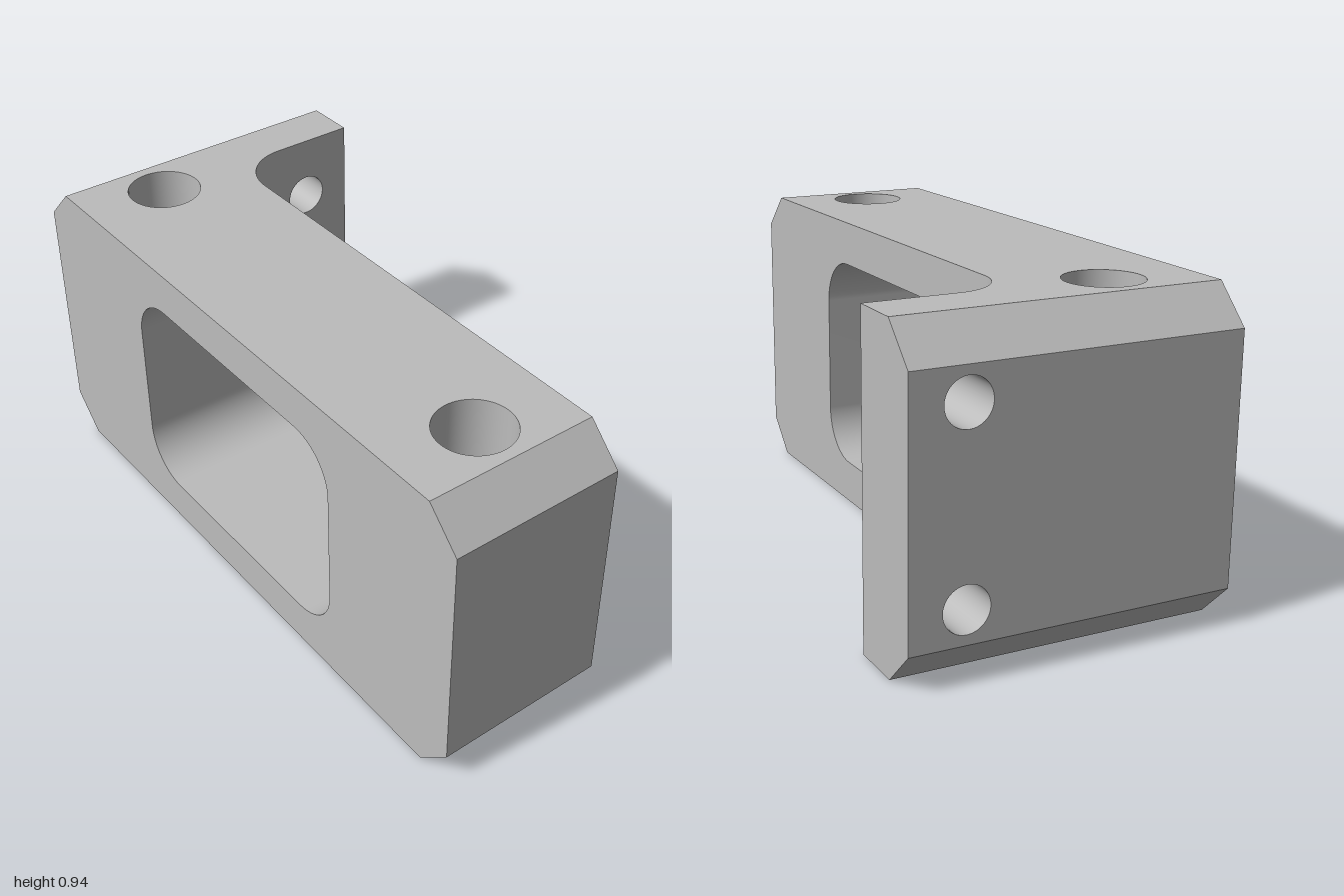
import * as THREE from 'three';

// Main dimensions
const X0 = -0.48, XA = 0.05, X1 = 0.48;   // arm back, arm front, flange tip
const H = 0.936, C = 0.107;               // height, chamfer
const ZF = -0.735, R = 0.16;              // flange front face, inner fillet radius

const V = (a, b) => new THREE.Vector2(a, b);

// Drawing planes: (u, v, w) to world axes, w being the plane's axis
const planes = {
  front: { map: (u, v, w) => [u, v, w], hand: 1 },
  side: { map: (u, v, w) => [w, v, u], hand: -1 },
  top: { map: (u, v, w) => [u, w, v], hand: -1 },
};

function arc(cx, cy, r, a0, a1, n) {
  return Array.from({ length: n + 1 }, (_, i) => {
    const a = a0 + (a1 - a0) * i / n;
    return V(cx + r * Math.cos(a), cy + r * Math.sin(a));
  });
}
const circle = (cx, cy, r) => arc(cx, cy, r, 0, Math.PI * 2, 64).slice(0, -1);

function roundedRect(u0, v0, u1, v1, r) {
  const q = Math.PI / 2;
  const corners = [[u1 - r, v1 - r], [u0 + r, v1 - r], [u0 + r, v0 + r], [u1 - r, v0 + r]];
  return corners.flatMap(([u, v], i) => arc(u, v, r, i * q, (i + 1) * q, 16));
}
const rect = (u0, v0, u1, v1) => [V(u0, v0), V(u1, v0), V(u1, v1), V(u0, v1)];

function flipWinding(index) {
  for (let i = 0; i < index.length; i += 3) [index[i], index[i + 1]] = [index[i + 1], index[i]];
}

// Flat face with holes at depth w, facing along sign * w
function face(plane, outline, holes, w, sign) {
  const shape = new THREE.Shape(outline);
  shape.holes = holes.map((h) => new THREE.Path(h));
  const g = new THREE.ShapeGeometry(shape);
  const p = g.attributes.position;
  for (let i = 0; i < p.count; i++) p.setXYZ(i, ...planes[plane].map(p.getX(i), p.getY(i), w));
  if (planes[plane].hand * sign < 0) flipWinding(g.index.array);
  g.computeVertexNormals();
  return g;
}

// Smooth wall swept along w, facing the inside of a counter-clockwise path
function wall(plane, path, w0, w1, closed = true) {
  const { map, hand } = planes[plane], n = path.length, pos = [], index = [];
  for (const p of path) pos.push(...map(p.x, p.y, w0), ...map(p.x, p.y, w1));
  for (let i = 0; i < (closed ? n : n - 1); i++) {
    const a = 2 * i, b = 2 * ((i + 1) % n);
    index.push(a, b, b + 1, a, b + 1, a + 1);
  }
  if (hand > 0) flipWinding(index);
  const g = new THREE.BufferGeometry();
  g.setAttribute('position', new THREE.Float32BufferAttribute(pos, 3));
  g.setIndex(index);
  g.computeVertexNormals();
  return g;
}

// Sloping edge strip along x, at the top or bottom of either end
function chamfer(x1, sy, sz) {
  const yFlat = sy > 0 ? H : 0, yEnd = yFlat - sy * C;
  const zFlat = sz * (1 - C), zEnd = sz;
  const g = new THREE.BufferGeometry();
  g.setAttribute('position', new THREE.Float32BufferAttribute([
    X0, yEnd, zEnd, x1, yEnd, zEnd, x1, yFlat, zFlat, X0, yFlat, zFlat], 3));
  g.setIndex([0, 1, 2, 0, 2, 3]);
  if (sy * sz < 0) flipWinding(g.index.array);
  g.computeVertexNormals();
  return g;
}

export function createModel() {
  const group = new THREE.Group();
  const metal = new THREE.MeshStandardMaterial({ color: 0xbcbcbc });
  metal.name = 'grey metal';
  const add = (name, geometry) => {
    const mesh = new THREE.Mesh(geometry, metal);
    mesh.name = name;
    group.add(mesh);
  };

  // Openings
  const window = roundedRect(-0.48, 0.135, 0.48, 0.802, 0.15);
  const armHoles = [-0.745, 0.745].map((z) => circle(-0.213, z, 0.113));
  const flangeHoles = [0.203, 0.735].map((y) => circle(0.319, y, 0.067));
  const fillet = arc(XA + R, ZF + R, R, Math.PI, Math.PI * 1.5, 24);

  // Top and bottom of the L-shaped body
  const e = 1 - C;
  const plan = [V(X0, -e), V(X0, e), V(XA, e), ...fillet, V(X1, ZF), V(X1, -e)];
  add('topFace', face('top', plan, armHoles, H, 1));
  add('bottomFace', face('top', plan, armHoles, 0, -1));

  // Long sides of the arm, with the window through them
  const frontEnd = [V(e, 0), V(1, C), V(1, H - C), V(e, H)];
  const backEnd = [V(-e, H), V(-1, H - C), V(-1, C), V(-e, 0)];
  add('armOuterSide', face('side', [...frontEnd, ...backEnd], [window], X0, -1));
  add('armInnerSide', face('side', [...frontEnd, V(ZF + R, H), V(ZF + R, 0)], [window], XA, 1));
  add('windowWall', wall('side', window, X0, XA));

  // Arm end and flange
  add('armEnd', face('front', rect(X0, C, XA, H - C), [], 1, 1));
  add('flangeFront', face('front', rect(XA + R, 0, X1, H), flangeHoles, ZF, 1));
  add('flangeBack', face('front', rect(X0, C, X1, H - C), flangeHoles, -1, -1));
  add('flangeTip', face('side', [V(ZF, 0), V(ZF, H), ...backEnd], [], X1, 1));
  add('innerFillet', wall('top', fillet, 0, H, false));

  // Hole bores
  armHoles.forEach((h) => add('armHoleBore', wall('top', h, 0, H)));
  flangeHoles.forEach((h) => add('flangeHoleBore', wall('front', h, -1, ZF)));

  // Chamfers at both ends
  for (const sy of [-1, 1]) {
    add('frontChamfer', chamfer(XA, sy, 1));
    add('backChamfer', chamfer(X1, sy, -1));
  }
  return group;
}
